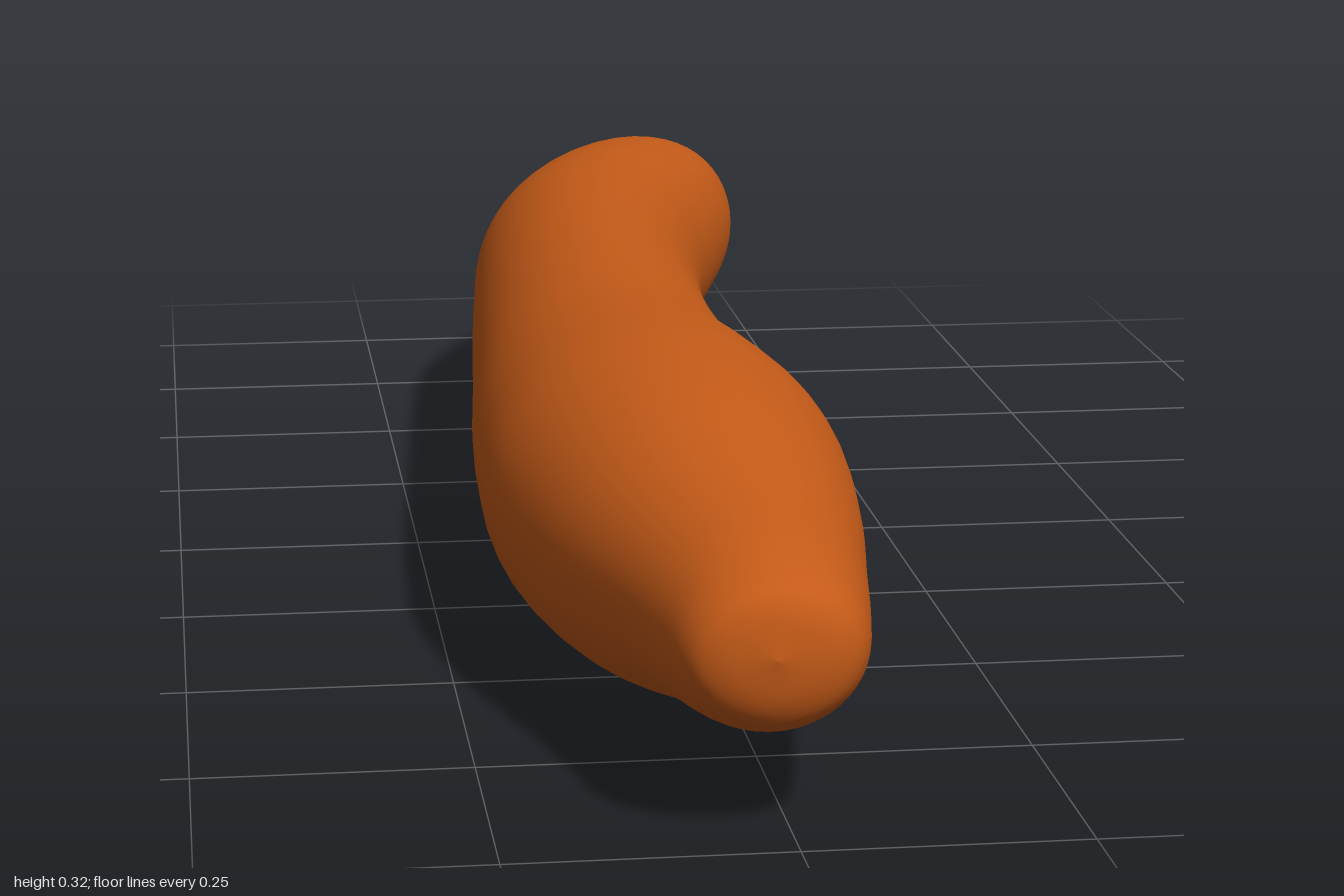
import * as THREE from 'three';

// Cross-sections from front to back: z, xMin, xMax, yMin, yMax
const SECTIONS = [
  [1.0, -0.02, -0.02, 0.165, 0.165],
  [0.99, -0.07, 0.03, 0.12, 0.21],
  [0.965, -0.095, 0.06, 0.095, 0.23],
  [0.9, -0.11, 0.075, 0.075, 0.25],
  [0.8, -0.135, 0.09, 0.06, 0.268],
  [0.62, -0.185, 0.117, 0.02, 0.303],
  [0.45, -0.212, 0.13, 0.001, 0.319],
  [0.3, -0.211, 0.112, 0.004, 0.317],
  [0.18, -0.205, 0.093, 0.01, 0.312],
  [0.0, -0.19, 0.086, 0.015, 0.31],
  [-0.2, -0.174, 0.091, 0.02, 0.308],
  [-0.4, -0.157, 0.107, 0.025, 0.305],
  [-0.6, -0.135, 0.138, 0.029, 0.302],
  [-0.74, -0.096, 0.176, 0.034, 0.298],
  [-0.85, -0.043, 0.207, 0.052, 0.288],
  [-0.93, 0.022, 0.212, 0.082, 0.268],
  [-0.975, 0.075, 0.197, 0.115, 0.24],
  [-0.993, 0.105, 0.175, 0.145, 0.215],
  [-1.0, 0.14, 0.14, 0.18, 0.18],
];

// Smooth skin lofted through the cross-sections
function loft(sections, rows, sides) {
  const spline = (a, b) => new THREE.CatmullRomCurve3(
    sections.map((s) => new THREE.Vector3(s[a], s[b], s[0])), false, 'catmullrom', 0.5);
  const widths = spline(1, 2);
  const heights = spline(3, 4);
  const positions = [];
  const index = [];
  for (let i = 0; i <= rows; i++) {
    const w = widths.getPoint(i / rows);
    const h = heights.getPoint(i / rows);
    for (let j = 0; j < sides; j++) {
      const a = (j / sides) * Math.PI * 2;
      positions.push(
        (w.x + w.y) / 2 + ((w.y - w.x) / 2) * Math.cos(a),
        (h.x + h.y) / 2 + ((h.y - h.x) / 2) * Math.sin(a),
        w.z);
      if (i === rows) continue;
      const p = i * sides + j;
      const q = i * sides + ((j + 1) % sides);
      // the first and last rows shrink to a point
      if (i > 0) index.push(p, p + sides, q);
      if (i < rows - 1) index.push(q, p + sides, q + sides);
    }
  }
  const geometry = new THREE.BufferGeometry();
  geometry.setAttribute('position', new THREE.Float32BufferAttribute(positions, 3));
  geometry.setIndex(index);
  geometry.computeVertexNormals();
  return geometry;
}

export function createModel() {
  const group = new THREE.Group();
  group.name = 'curvedBody';
  const skin = new THREE.Mesh(
    loft(SECTIONS, 108, 48),
    new THREE.MeshStandardMaterial({ color: 0xc45a18 }));
  skin.name = 'skin';
  group.add(skin);
  return group;
}
